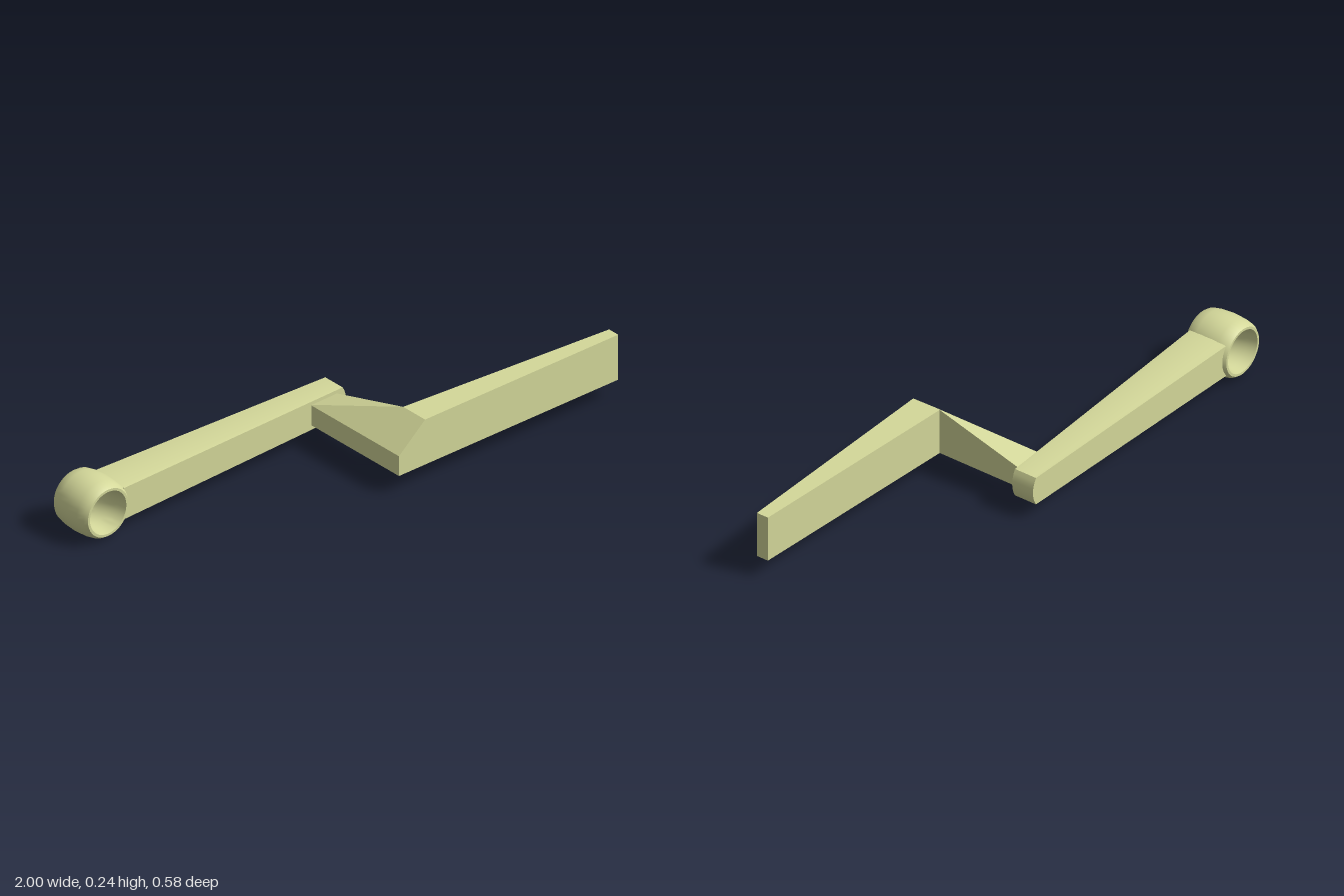
import * as THREE from 'three';
import { toCreasedNormals } from 'three/addons/utils/BufferGeometryUtils.js';
import { ConvexGeometry } from 'three/addons/geometries/ConvexGeometry.js';

const khaki = new THREE.MeshStandardMaterial({ color: 0xd4d89a });
khaki.name = 'khaki';

const AXIS_Y = 0.107, AXIS_Z = -0.2015;

function part(name, geometry) {
  const mesh = new THREE.Mesh(geometry, khaki);
  mesh.name = name;
  return mesh;
}

function hull(points) {
  return new ConvexGeometry(points.map(p => new THREE.Vector3(...p)));
}

// Barrel-shaped eye with a flared bore, turned about the z axis
function eyeGeometry() {
  const outer = [[0.089, -0.0865], [0.098, -0.074], [0.104, -0.046], [0.107, 0],
    [0.104, 0.046], [0.098, 0.074], [0.089, 0.0865]];
  const bore = [[0.080, 0.0865], [0.073, 0.05], [0.068, 0.02],
    [0.068, -0.02], [0.073, -0.05], [0.080, -0.0865]];
  const profile = [...outer, ...bore, outer[0]].map(p => new THREE.Vector2(...p));
  const g = new THREE.LatheGeometry(profile, 40);
  g.rotateX(Math.PI / 2);
  g.translate(-0.893, AXIS_Y, AXIS_Z);
  return toCreasedNormals(g, 0.55);
}

// Tapered arm: bowed top and bottom, gently rounded far end
function armGeometry() {
  const x0 = -0.815, x1 = 0.176, h0 = 0.06, h1 = 0.053;
  const s = new THREE.Shape();
  s.moveTo(x0, -h0);
  s.lineTo(x1, -h1);
  s.quadraticCurveTo(x1 + 0.032, 0, x1, h1);
  s.lineTo(x0, h0);
  s.closePath();
  const g = new THREE.ExtrudeGeometry(s, { depth: 2, steps: 8, bevelEnabled: false, curveSegments: 8 });
  const p = g.attributes.position;
  for (let i = 0; i < p.count; i++) {
    const x = p.getX(i), y = p.getY(i), u = p.getZ(i) - 1;
    const t = (x - x0) / (x1 - x0);
    const bow = t < 1 ? 0.007 * (1 - u * u) * (1 - t) : 0;
    p.setXYZ(i, x, AXIS_Y + y + Math.sign(y) * bow, AXIS_Z + u * THREE.MathUtils.lerp(0.076, 0.044, t));
  }
  return toCreasedNormals(g, 0.5);
}

export function createModel() {
  const group = new THREE.Group();
  group.name = 'crankLever';
  group.add(part('eye', eyeGeometry()), part('arm', armGeometry()));

  const bottom = 0.07, shoulder = 0.146, top = 0.243;
  const inner = 0.035, outer = 0.15, front = 0.289, back = 0.178, root = -0.16;

  // Cross piece rising from the arm to the chamfered corner
  group.add(part('crossPiece', hull([
    [inner, bottom, front], [outer, bottom, front], [inner, bottom, root], [outer, bottom, root],
    [inner, shoulder, front], [inner, shoulder, root], [outer, shoulder, root],
    [outer, top, front], [outer, top, back],
  ])));

  // Blade tapering in thickness towards its tip
  const blade = [];
  for (const y of [bottom, top]) {
    blade.push([outer, y, front], [outer, y, back], [1, y, front], [1, y, 0.243]);
  }
  group.add(part('blade', hull(blade)));
  return group;
}
